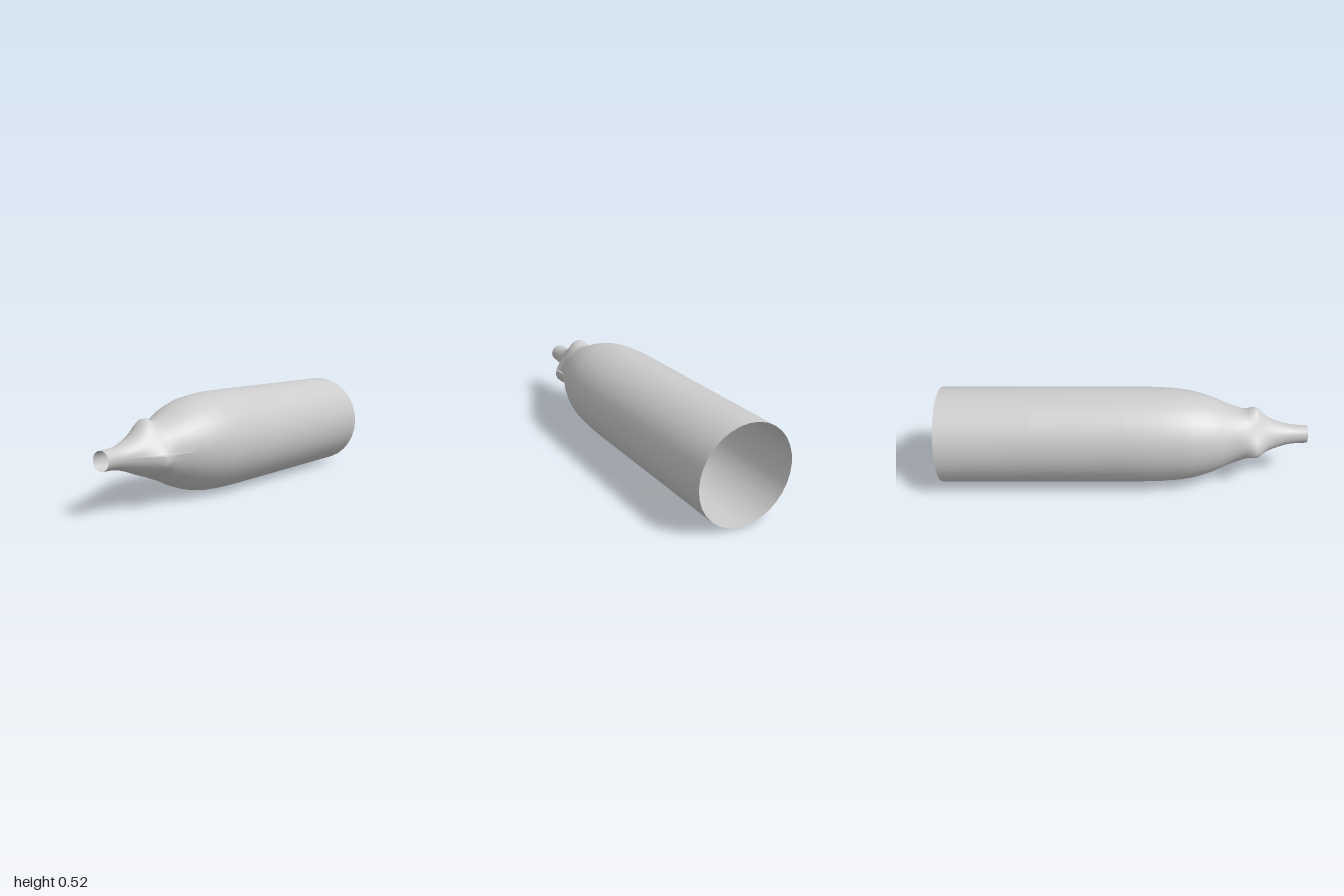
import * as THREE from 'three';
import { mergeVertices } from 'three/addons/utils/BufferGeometryUtils.js';

const SIDES = 32;
const AXIS_Y = 0.261;

// Body profile from the open back to the nozzle: [z, radius]
const PROFILE = [
  [-1, 0.261], [-0.5, 0.261], [0, 0.261], [0.1, 0.261], [0.2, 0.259], [0.3, 0.251],
  [0.36, 0.242], [0.42, 0.227], [0.48, 0.207], [0.52, 0.19], [0.56, 0.172],
  [0.6, 0.156], [0.63, 0.146], [0.65, 0.138], [0.67, 0.13], [0.69, 0.123],
  [0.71, 0.117], [0.73, 0.111], [0.76, 0.101], [0.79, 0.09], [0.82, 0.079],
  [0.85, 0.069], [0.88, 0.06], [0.91, 0.054], [0.95, 0.05], [1, 0.049],
];

// Raised lobes around the shoulder: angle, angular spread, height
const LOBES = [
  { angle: 90, spread: 27, height: 0.05 },
  { angle: -14, spread: 27, height: 0.045 },
  { angle: 194, spread: 25, height: 0.046 },
];

function lobeHeight(theta, z) {
  const along = Math.exp(-(((z - 0.71) / (z > 0.71 ? 0.055 : 0.05)) ** 2));
  let h = 0;
  for (const { angle, spread, height } of LOBES) {
    let d = THREE.MathUtils.radToDeg(theta) - angle;
    d = ((d + 540) % 360) - 180;
    h = Math.max(h, height * Math.exp(-((d / spread) ** 2)));
  }
  return h * along;
}

// Half angle of the narrow slit that opens along the left seam
function slitHalfAngle(z) {
  return 0.025 * Math.max(0, 1 - ((z - 0.71) / 0.17) ** 2);
}

function shellGeometry() {
  const positions = [];
  const indices = [];
  const row = SIDES + 1;
  PROFILE.forEach(([z, radius], i) => {
    const gap = slitHalfAngle(z);
    for (let j = 0; j <= SIDES; j++) {
      let theta = (j / SIDES) * Math.PI * 2;
      if (j === 0) theta += gap;
      if (j === SIDES) theta -= gap;
      const r = radius + lobeHeight(theta, z);
      positions.push(r * Math.cos(theta), AXIS_Y + r * Math.sin(theta), z);
      if (i > 0 && j > 0) {
        const a = (i - 1) * row + j - 1;
        const b = i * row + j - 1;
        indices.push(a, a + 1, b, a + 1, b + 1, b);
      }
    }
  });
  let geometry = new THREE.BufferGeometry();
  geometry.setAttribute('position', new THREE.Float32BufferAttribute(positions, 3));
  geometry.setIndex(indices);
  // Weld the seam wherever the slit is closed
  geometry = mergeVertices(geometry, 1e-5);
  geometry.computeVertexNormals();
  return geometry;
}

export function createModel() {
  const group = new THREE.Group();
  group.name = 'taperedTube';
  const material = new THREE.MeshStandardMaterial({ color: 0xcccccc, side: THREE.DoubleSide });
  const shell = new THREE.Mesh(shellGeometry(), material);
  shell.name = 'shell';
  group.add(shell);
  return group;
}
